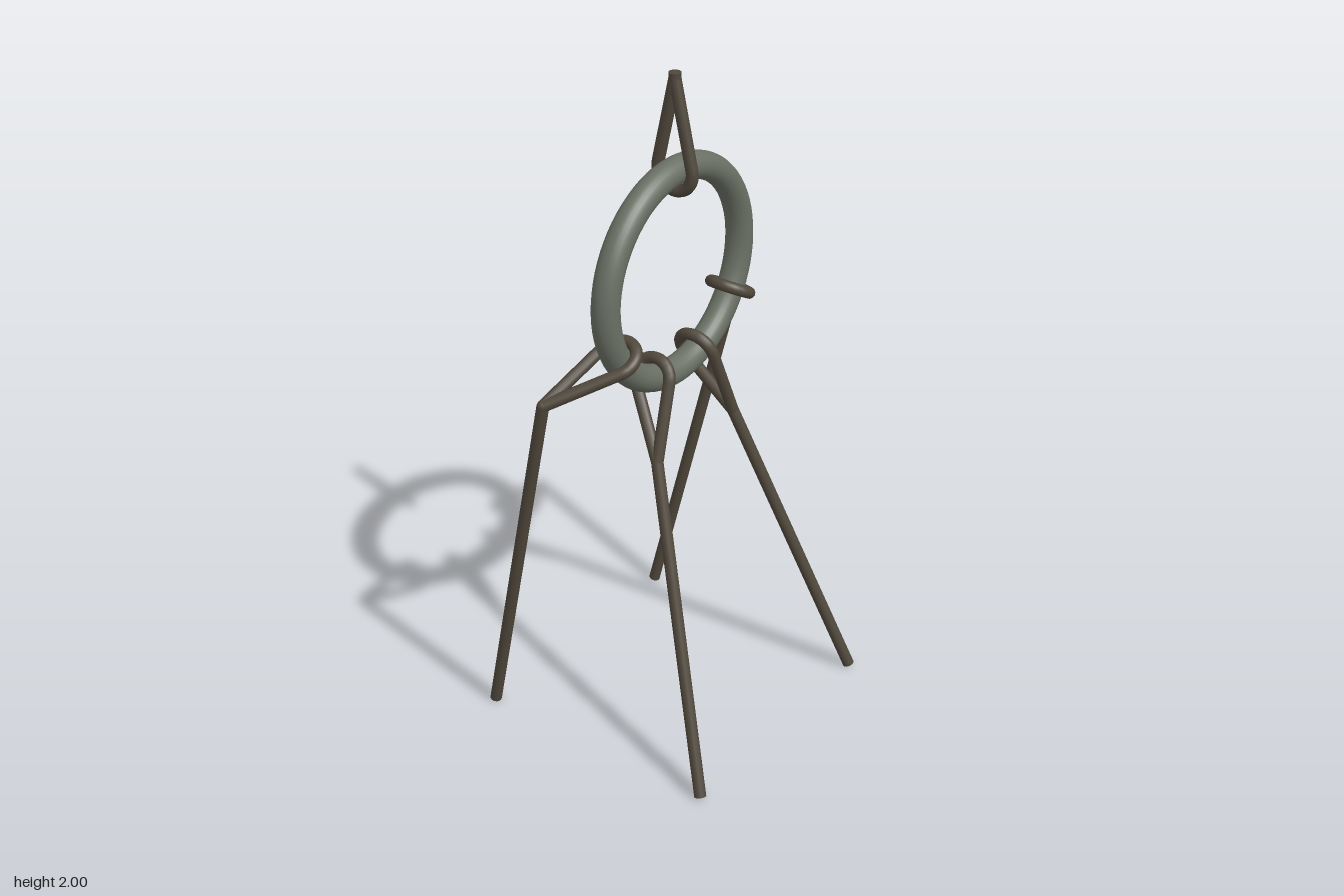
import * as THREE from 'three';

const RING_Y = 1.415, RING_R = 0.305, RING_TUBE = 0.04;
const CORD_R = 0.0175, WRAP_R = 0.058;

const ringMat = new THREE.MeshStandardMaterial({ color: 0x6a7064 });
const cordMat = new THREE.MeshStandardMaterial({ color: 0x50483c });

// Point at a distance outward from the ring's core circle, at a given angle and z
function ringPoint(angle, out, z) {
  const r = RING_R + out;
  return new THREE.Vector3(r * Math.cos(angle), RING_Y + r * Math.sin(angle), z);
}

function add(parent, name, geometry, material) {
  const mesh = new THREE.Mesh(geometry, material);
  mesh.name = name;
  parent.add(mesh);
  return mesh;
}

// Straight capped rod between two points
function rod(parent, name, a, b) {
  const dir = b.clone().sub(a);
  const mesh = add(parent, name, new THREE.CylinderGeometry(CORD_R, CORD_R, dir.length(), 14), cordMat);
  mesh.position.copy(a).addScaledVector(dir, 0.5);
  mesh.quaternion.setFromUnitVectors(new THREE.Vector3(0, 1, 0), dir.normalize());
}

// Teardrop loop: two tangents from a knot, joined by an arc around the ring's tube
function hangingCord(name, angle, out, z, end) {
  const group = new THREE.Group();
  group.name = name;
  const knot = ringPoint(angle, out, z);
  const phi = Math.atan2(z, out);
  const half = Math.acos(WRAP_R / Math.hypot(out, z));
  const points = [knot];
  const steps = 24;
  for (let i = 0; i <= steps; i++) {
    const t = phi + half + (2 * Math.PI - 2 * half) * i / steps;
    points.push(ringPoint(angle, WRAP_R * Math.cos(t), WRAP_R * Math.sin(t)));
  }
  points.push(knot);
  const path = new THREE.CurvePath();
  for (let i = 1; i < points.length; i++) path.add(new THREE.LineCurve3(points[i - 1], points[i]));
  add(group, 'loop', new THREE.TubeGeometry(path, 100, CORD_R, 12), cordMat);
  add(group, 'knot', new THREE.SphereGeometry(CORD_R, 14, 10), cordMat).position.copy(knot);
  rod(group, 'tail', knot, end);
  return group;
}

export function createModel() {
  const model = new THREE.Group();
  model.name = 'ringWithSlings';

  // Main ring
  add(model, 'ring', new THREE.TorusGeometry(RING_R, RING_TUBE, 24, 72), ringMat).position.y = RING_Y;

  // Upper sling
  model.add(hangingCord('topSling', Math.PI / 2, 0.263, 0, new THREE.Vector3(0, 2, 0)));

  // Four lower slings, mirrored left and right
  for (const side of [1, -1]) {
    const label = side > 0 ? 'left' : 'right';
    const angle = deg => THREE.MathUtils.degToRad(side > 0 ? deg : 180 - deg);
    model.add(hangingCord(label + 'BackLeg', angle(-30), 0.209, -0.11,
      new THREE.Vector3(side * 0.398, 0.005, -0.385)));
    model.add(hangingCord(label + 'FrontLeg', angle(-70), 0.225, 0.075,
      new THREE.Vector3(side * 0.39, 0.008, 0.385)));
  }
  return model;
}
